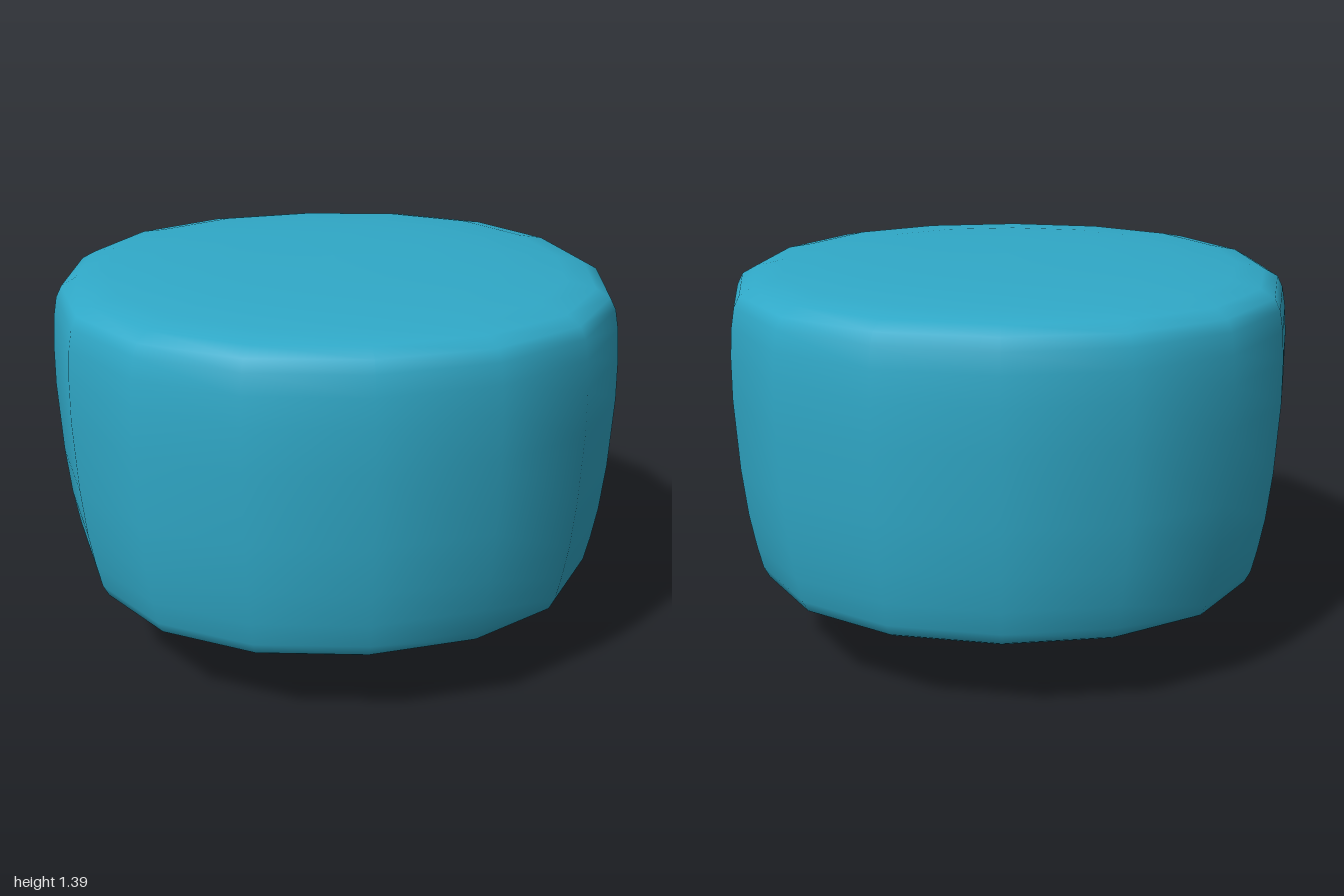
import * as THREE from 'three';

const SIDES = 16;
const BULGE = 0.07;
const teal = new THREE.MeshStandardMaterial({ color: 0x30a9c8 });
const black = new THREE.MeshStandardMaterial({ color: 0x040404 });
const charcoal = new THREE.MeshStandardMaterial({ color: 0x1e1e1e });

// Revolves [radius, height] points into a ring that is slightly fuller on the diagonals
function turned(name, profile, material) {
  const geometry = new THREE.LatheGeometry(profile.map(([r, y]) => new THREE.Vector2(r, y)), SIDES);
  const p = geometry.attributes.position;
  for (let i = 0; i < p.count; i++) {
    const a = Math.atan2(p.getX(i), p.getZ(i));
    p.setX(i, p.getX(i) * (1 + BULGE * Math.cos(a) ** 2));
    p.setZ(i, p.getZ(i) * (1 + BULGE * Math.sin(a) ** 2));
  }
  const mesh = new THREE.Mesh(geometry, material);
  mesh.name = name;
  return mesh;
}

export function createModel() {
  const model = new THREE.Group();
  model.name = 'pushKnob';

  // Hollow cap: rounded shell, thin rim and inner cavity of even thickness
  const cap = new THREE.Group();
  cap.name = 'cap';
  cap.add(
    turned('capShell', [
      [0.885, 0.273], [0.905, 0.285], [0.925, 0.325], [0.945, 0.41], [0.967, 0.53], [0.986, 0.7],
      [1, 0.95], [0.999, 1.1], [0.992, 1.2], [0.98, 1.27], [0.96, 1.31], [0.91, 1.338],
      [0.81, 1.36], [0.6, 1.378], [0.35, 1.387], [0, 1.39],
    ], teal),
    turned('capRim', [[0.855, 0.273], [0.885, 0.273]], teal),
    turned('capCavity', [
      [0, 1.36], [0.35, 1.357], [0.6, 1.348], [0.8, 1.331], [0.895, 1.31], [0.935, 1.285],
      [0.952, 1.255], [0.963, 1.19], [0.97, 1.1], [0.97, 0.95], [0.956, 0.7], [0.937, 0.53],
      [0.915, 0.41], [0.895, 0.335], [0.855, 0.273],
    ], teal),
    turned('innerBoss', [[0.44, 0.6], [0.51, 0.6], [0.51, 1.353]], teal),
  );

  // Stem: collar inside the cap, shaft and rounded foot
  const stem = new THREE.Group();
  stem.name = 'stem';
  stem.add(
    turned('collar', [[0.4, 0.5], [0.445, 0.51], [0.46, 0.54], [0.46, 0.61]], black),
    turned('shaft', [[0.38, 0.163], [0.4, 0.166], [0.405, 0.175], [0.405, 0.52]], black),
    turned('foot', [
      [0, 0], [0.2, 0.006], [0.3, 0.018], [0.37, 0.04], [0.395, 0.065],
      [0.405, 0.1], [0.405, 0.145], [0.397, 0.158], [0.38, 0.163],
    ], charcoal),
  );

  model.add(cap, stem);
  return model;
}
